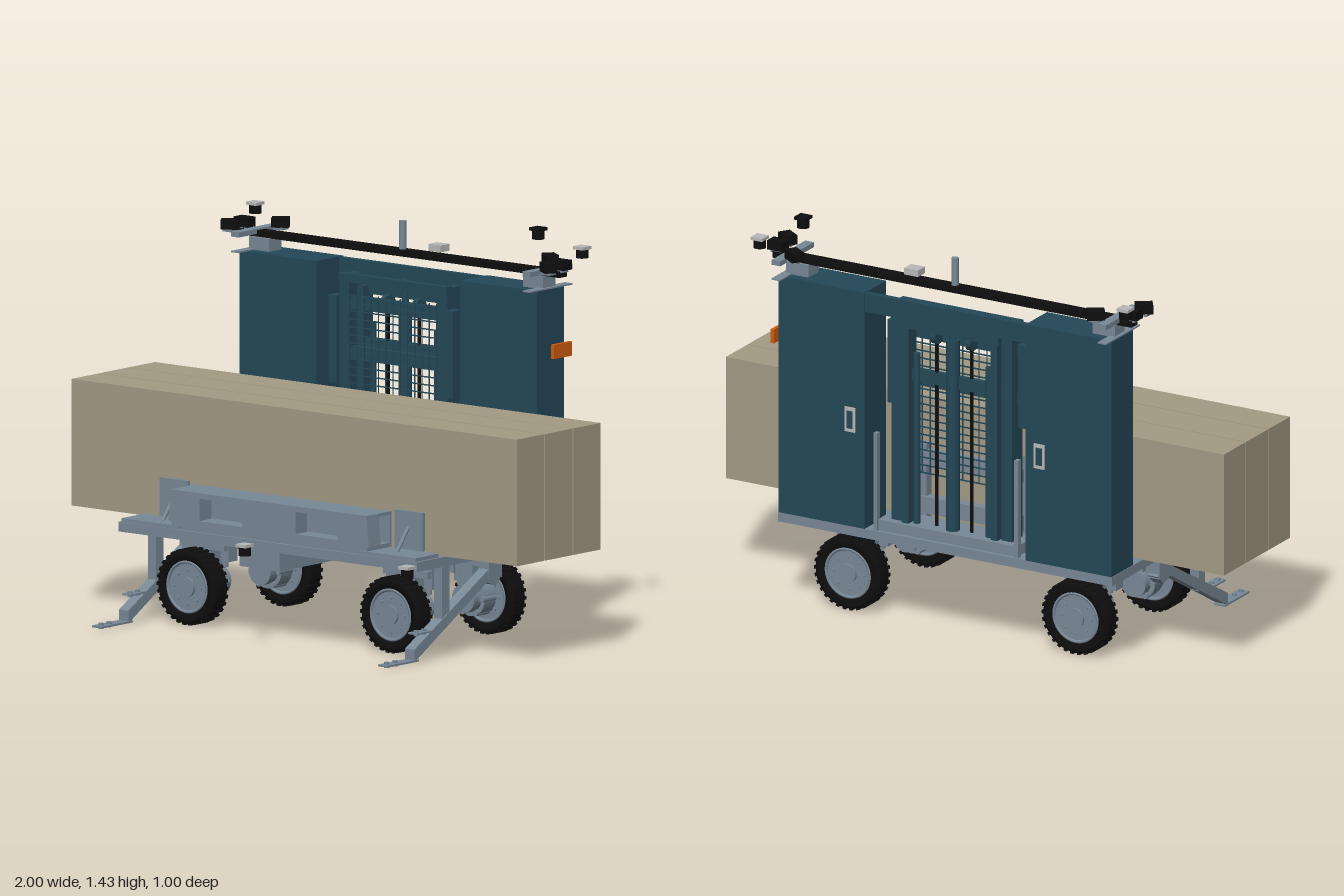
import * as THREE from 'three';

const mat = (name, color) => {
  const m = new THREE.MeshStandardMaterial({ color });
  m.name = name;
  return m;
};

export function createModel() {
  const timber = mat('timber', 0xa39a84), teal = mat('teal paint', 0x244757), grey = mat('grey steel', 0x788896);
  const black = mat('black rubber', 0x0e0e0e), pale = mat('pale grey', 0xb6b8b6), orange = mat('orange', 0xd05c10);
  const root = new THREE.Group();

  const add = (name, geo, m, parent = root) => {
    const mesh = new THREE.Mesh(geo, m);
    mesh.name = name;
    parent.add(mesh);
    return mesh;
  };
  // Box given by its extents on each axis
  const box = (name, m, x0, x1, y0, y1, z0, z1, parent) => {
    const b = add(name, new THREE.BoxGeometry(x1 - x0, y1 - y0, z1 - z0), m, parent);
    b.position.set((x0 + x1) / 2, (y0 + y1) / 2, (z0 + z1) / 2);
    return b;
  };
  // Box and its mirror image across x = 0
  const pair = (name, m, x0, x1, y0, y1, z0, z1) => {
    box(name + 'Left', m, x0, x1, y0, y1, z0, z1);
    box(name + 'Right', m, -x1, -x0, y0, y1, z0, z1);
  };
  const cyl = (name, m, r, h, x, y, z, axis = 'y', parent = root, seg = 24) => {
    const g = new THREE.CylinderGeometry(r, r, h, seg);
    if (axis === 'z') g.rotateX(Math.PI / 2);
    if (axis === 'x') g.rotateZ(Math.PI / 2);
    const c = add(name, g, m, parent);
    c.position.set(x, y, z);
    return c;
  };
  // Straight rod between two points
  const rod = (name, m, r, a, b) => {
    const p = new THREE.Vector3(...a), q = new THREE.Vector3(...b);
    const c = cyl(name, m, r, p.distanceTo(q), 0, 0, 0, 'y', root, 10);
    c.position.copy(p).add(q).multiplyScalar(0.5);
    c.quaternion.setFromUnitVectors(new THREE.Vector3(0, 1, 0), q.sub(p).normalize());
  };

  // Timber load
  [[0.057, 0.205], [-0.098, 0.052], [-0.25, -0.102]].forEach(([a, b], i) =>
    box('timberStack' + (i + 1), timber, -1, 1, 0.365, 0.81, a, b));

  // Deck and underframe
  box('deck', grey, -0.67, 0.67, 0.328, 0.362, -0.455, 0.35);
  box('underTank', grey, -0.25, -0.07, 0.232, 0.328, -0.14, 0.2);
  box('crossBeamFront', grey, -0.39, 0.39, 0.3, 0.328, 0.1, 0.16);
  box('crossBeamRear', grey, -0.39, 0.39, 0.3, 0.328, -0.36, -0.29);
  box('centreBlock', grey, 0.03, 0.28, 0.292, 0.328, -0.25, -0.18);
  pair('sideSkid', grey, 0.4, 0.66, 0.355, 0.375, 0.22, 0.345);

  // Front bumper with two fork pockets
  const face = new THREE.Shape([[-0.45, 0.39], [0.45, 0.39], [0.44, 0.5], [-0.44, 0.5]].map(p => new THREE.Vector2(...p)));
  for (const s of [-1, 1]) {
    const [a, b] = [s * 0.215 - 0.095, s * 0.215 + 0.095];
    face.holes.push(new THREE.Path([[a, 0.402], [a, 0.48], [b, 0.48], [b, 0.402]].map(p => new THREE.Vector2(...p))));
  }
  const faceGeo = new THREE.ExtrudeGeometry(face, { depth: 0.065, bevelEnabled: false });
  add('bumperFace', faceGeo, grey).position.z = 0.28;
  box('bumperTop', grey, -0.44, 0.44, 0.488, 0.5, 0.21, 0.28);
  box('bumperBack', grey, -0.44, 0.44, 0.362, 0.49, 0.208, 0.216);
  box('bumperFoot', grey, -0.44, 0.44, 0.36, 0.39, 0.22, 0.34);
  pair('stopPlate', grey, 0.465, 0.59, 0.375, 0.51, 0.208, 0.222);
  for (const s of [-1, 1])
    rod('stopBrace', grey, 0.007, [s * 0.525, 0.372, 0.285], [s * 0.525, 0.455, 0.22]);

  // Equipment towers
  pair('tower', teal, 0.323, 0.668, 0.362, 1.23, -0.455, -0.307);
  box('towerHeader', teal, -0.325, 0.325, 1.16, 1.228, -0.452, -0.43);
  for (const s of [-1, 1]) {
    // Door latches on the back
    const g = new THREE.Group();
    g.name = 'doorLatch';
    g.position.set(s * 0.38, 0.755, -0.457);
    box('latchPlate', pale, -0.021, 0.021, -0.045, 0.045, -0.003, 0.003, g);
    box('latchHandle', teal, -0.012, 0.012, -0.032, 0.032, -0.005, -0.002, g);
    root.add(g);
  }
  box('orangeMarker', orange, 0.678, 0.692, 0.985, 1.035, -0.47, -0.37);
  box('markerBracket', grey, 0.665, 0.68, 1.0, 1.02, -0.43, -0.41);

  // Lifting mast
  pair('mastRail', teal, 0.2, 0.242, 0.362, 1.19, -0.41, -0.335);
  pair('innerRail', teal, 0.165, 0.192, 0.362, 1.15, -0.425, -0.37);
  box('mastHeader', teal, -0.242, 0.242, 1.165, 1.195, -0.36, -0.33);
  box('mastHeaderRear', teal, -0.2, 0.2, 1.12, 1.15, -0.43, -0.4);
  box('mastFoot', grey, -0.28, 0.28, 0.362, 0.4, -0.44, -0.32);
  pair('guideTrack', grey, 0.275, 0.29, 0.362, 0.72, -0.45, -0.43);
  pair('carriageSide', teal, 0.243, 0.28, 0.81, 1.115, -0.37, -0.32);
  for (const y of [0.895, 1.07])
    box('carriageBar', teal, -0.28, 0.28, y, y + 0.045, -0.37, -0.345);
  box('carriagePlate', teal, -0.2, 0.2, 0.92, 0.965, -0.4, -0.38);
  cyl('liftCylinder', teal, 0.024, 0.72, 0, 0.74, -0.4);
  cyl('liftPiston', teal, 0.013, 0.1, 0, 1.14, -0.4);
  for (const s of [-1, 1]) {
    cyl('sideCylinder', teal, 0.012, 0.65, s * 0.145, 0.7, -0.4);
    box('liftChain', black, s * 0.07 - 0.005, s * 0.07 + 0.005, 0.4, 1.12, -0.395, -0.388);
    cyl('chainWheel', teal, 0.03, 0.02, s * 0.07, 1.1, -0.39, 'x');
  }

  // Guard screen
  for (let i = 0; i < 21; i++)
    box('screenBar', teal, -0.2, 0.2, 0.56 + i * 0.028, 0.564 + i * 0.028, -0.336, -0.331);
  for (let i = 0; i < 13; i++)
    box('screenWire', teal, -0.1965 + i * 0.0325, -0.1935 + i * 0.0325, 0.56, 1.13, -0.335, -0.332);

  // Fork backrest
  pair('backrestPost', grey, 0.17, 0.25, 0.362, 0.65, -0.29, -0.258);
  box('backrestLower', grey, -0.22, 0.22, 0.4, 0.46, -0.3, -0.265);
  box('backrestUpper', grey, -0.22, 0.22, 0.58, 0.63, -0.3, -0.265);
  for (const s of [-1, 1])
    rod('backrestPin', grey, 0.009, [s * 0.21, 0.63, -0.285], [s * 0.21, 0.675, -0.285]);

  // Wheels with drive units; dir points from the wheel towards its motor
  const tyrePts = [[0.09, -0.03], [0.115, -0.037], [0.128, -0.032], [0.132, -0.02], [0.132, 0.02],
    [0.128, 0.032], [0.115, 0.037], [0.09, 0.03], [0.09, -0.03]].map(p => new THREE.Vector2(...p));
  const tyreGeo = new THREE.LatheGeometry(tyrePts, 40).rotateX(Math.PI / 2);
  const wheel = (x, z, dir) => {
    const g = new THREE.Group();
    g.name = 'wheelUnit';
    g.position.set(x, 0.14, z);
    root.add(g);
    add('tyre', tyreGeo, black, g);
    for (let i = 0; i < 30; i++) {
      const a = (i / 30) * Math.PI * 2;
      const lug = add('treadLug', new THREE.BoxGeometry(0.006, 0.012, 0.068), black, g);
      lug.position.set(Math.cos(a) * 0.131, Math.sin(a) * 0.131, 0);
      lug.rotation.z = a;
    }
    cyl('rim', grey, 0.093, 0.056, 0, 0, 0, 'z', g, 36);
    cyl('hub', grey, 0.034, 0.072, 0, 0, 0, 'z', g);
    const ring = new THREE.TorusGeometry(0.088, 0.006, 8, 36);
    for (const e of [-1, 1]) add('rimEdge', ring, grey, g).position.z = e * 0.028;
    for (let i = 0; i < 8; i++)
      cyl('wheelBolt', grey, 0.006, 0.066, Math.cos(i * Math.PI / 4) * 0.06, Math.sin(i * Math.PI / 4) * 0.06, 0, 'z', g, 8);
    // Motor and gearbox
    cyl('axle', grey, 0.03, 0.1, 0, 0, dir * 0.05, 'z', g);
    cyl('motor', grey, 0.066, 0.06, 0, 0.005, dir * 0.08, 'z', g);
    cyl('gearbox', grey, 0.05, 0.05, 0, 0.005, dir * 0.125, 'z', g);
    for (let i = 0; i < 6; i++)
      cyl('motorBolt', grey, 0.012, 0.07, Math.cos(i * Math.PI / 3) * 0.058, 0.005 + Math.sin(i * Math.PI / 3) * 0.058, dir * 0.085, 'z', g, 8);
    // Suspension
    const za = dir * 0.05, zb = dir * 0.14, lo = Math.min(za, zb), hi = Math.max(za, zb);
    box('motorBracket', grey, -0.035, 0.035, 0.05, 0.13, lo, hi, g);
    box('suspensionPlate', grey, -0.1, 0.1, 0.125, 0.15, lo, hi, g);
    for (const s of [-1, 1]) {
      box('suspensionArm', grey, s * 0.085 - 0.018, s * 0.085 + 0.018, 0.085, 0.19, lo + 0.02, hi - 0.02, g);
      cyl('damper', grey, 0.012, 0.1, s * 0.055, 0.11, dir * 0.11, 'y', g, 12);
    }
  };
  for (const s of [-1, 1]) {
    wheel(s * 0.457, 0.204, -1);
    wheel(s * 0.457, -0.31, 1);
  }

  // Sloping support legs with flat feet
  const legShape = new THREE.Shape([[0.355, 0.01], [0.355, 0.055], [-0.05, 0.285], [-0.1, 0.3],
    [-0.125, 0.26], [-0.09, 0.225], [-0.04, 0.24]].map(([z, y]) => new THREE.Vector2(-z, y)));
  for (const s of [-1, 1]) {
    const geo = new THREE.ExtrudeGeometry(legShape, { depth: 0.042, bevelEnabled: false });
    geo.rotateY(Math.PI / 2);
    add('supportLeg', geo, grey).position.x = s * 0.642 - 0.021;
    box('legPost', grey, s * 0.642 - 0.018, s * 0.642 + 0.018, 0.12, 0.33, 0.16, 0.2);
    box('legMount', grey, s * 0.64 - 0.025, s * 0.64 + 0.025, 0.25, 0.33, -0.12, -0.05);
    box('footPlate', grey, s * 0.642 - 0.022, s * 0.642 + 0.022, 0.011, 0.018, 0.33, 0.5);
    box('stepPlate', grey, s * 0.642 - 0.02, s * 0.642 + 0.02, 0.104, 0.11, 0.22, 0.34);
    for (const [y, z] of [[0.016, 0.48], [0.016, 0.435], [0.107, 0.32], [0.107, 0.28]])
      cyl('footBolt', grey, 0.009, 0.02, s * 0.642, y, z, 'y', root, 10);
  }

  // Sensor bar above the towers
  box('sensorBar', black, -0.72, 0.72, 1.274, 1.297, -0.407, -0.365);
  pair('barMount', grey, 0.57, 0.66, 1.23, 1.275, -0.417, -0.35);
  pair('crossArm', grey, 0.637, 0.672, 1.284, 1.302, -0.497, -0.265);
  pair('towerTopStrip', grey, 0.637, 0.672, 1.229, 1.234, -0.497, -0.265);
  cyl('antenna', grey, 0.013, 0.11, 0, 1.342, -0.386);
  box('receiver', pale, 0.135, 0.19, 1.308, 1.332, -0.41, -0.362);
  for (const s of [-1, 1]) {
    for (const [x, z, turn] of [[0.605, -0.455, 0.6], [0.715, -0.312, 0.6], [0.71, -0.386, 0]]) {
      const cam = add('camera', new THREE.BoxGeometry(0.062, 0.034, 0.045), black);
      cam.position.set(s * x, 1.318, z);
      cam.rotation.y = -s * turn;
      const base = add('cameraBase', new THREE.BoxGeometry(0.04, 0.01, 0.035), grey);
      base.position.set(s * x, 1.297, z);
    }
  }

  // Separate scanner heads: black drum under a square pale cap
  const scanner = (x, y, z, cap = pale) => {
    const g = new THREE.Group();
    g.name = 'scanner';
    g.position.set(x, y, z);
    cyl('scannerDrum', black, 0.022, 0.032, 0, -0.004, 0, 'y', g);
    box('scannerCap', cap, -0.023, 0.023, 0.01, 0.021, -0.023, 0.023, g);
    root.add(g);
  };
  scanner(0, 0.351, 0.475);
  scanner(0.73, 0.351, 0.475);
  scanner(0.73, 1.352, -0.478);
  scanner(-0.738, 1.352, -0.478);
  scanner(0.612, 1.418, -0.382, black);

  return root;
}
